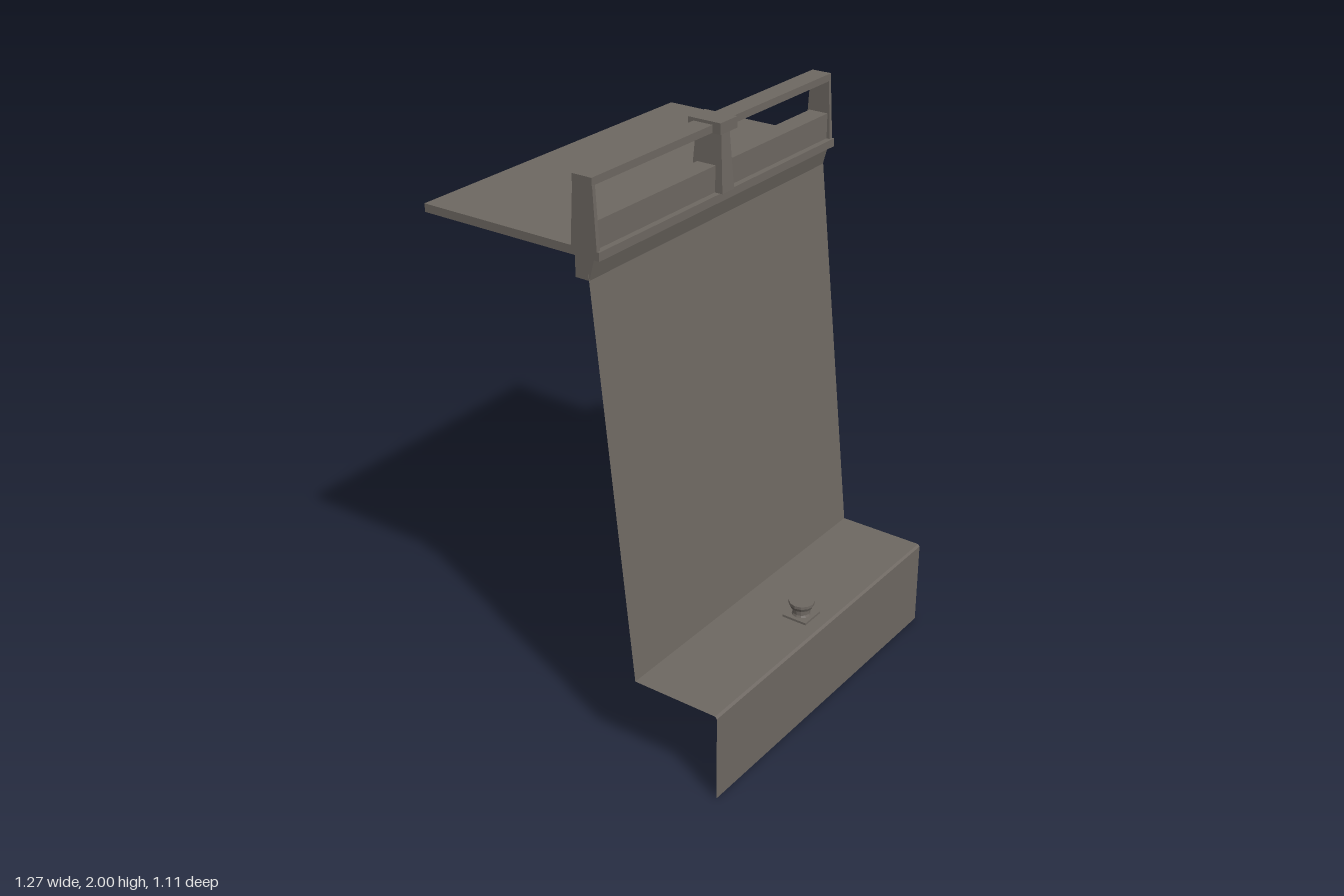
import * as THREE from 'three';

const WIDTH = 1.268;

export function createModel() {
  const model = new THREE.Group();
  const stone = new THREE.MeshStandardMaterial({ color: 0x6e6862, flatShading: true });
  const stoneSheet = new THREE.MeshStandardMaterial({ color: 0x6e6862, flatShading: true, side: THREE.DoubleSide });
  stone.name = 'stone';
  stoneSheet.name = 'stone sheet';

  const add = (name, geometry, x = 0, y = 0, z = 0, material = stone) => {
    const mesh = new THREE.Mesh(geometry, material);
    mesh.name = name;
    mesh.position.set(x, y, z);
    model.add(mesh);
    return mesh;
  };

  // Box given by its lower and upper y and its back and front z
  const block = (name, w, y0, y1, z0, z1, x = 0) =>
    add(name, new THREE.BoxGeometry(w, y1 - y0, z1 - z0), x, (y0 + y1) / 2, (z0 + z1) / 2);

  // Post whose top is narrower than its foot
  const taperedPost = (name, x, y0, y1, z, foot, top) => {
    const geometry = new THREE.BoxGeometry(1, y1 - y0, 1);
    const p = geometry.attributes.position;
    for (let i = 0; i < p.count; i++) {
      const [w, d] = p.getY(i) > 0 ? top : foot;
      p.setX(i, p.getX(i) * w);
      p.setZ(i, p.getZ(i) * d);
    }
    geometry.computeVertexNormals();
    return add(name, geometry, x, (y0 + y1) / 2, z);
  };

  // Folded sheet: apron, ledge and leaning wall, as [y, z] from the bottom up
  const fold = [[0, 0.555], [0.31, 0.555], [0.318, 0.548], [0.318, 0.235], [1.69, 0.088]];
  const names = ['apron', 'ledgeBevel', 'ledge', 'leaningWall'];
  names.forEach((name, i) => {
    const [y0, z0] = fold[i], [y1, z1] = fold[i + 1];
    const h = WIDTH / 2;
    const geometry = new THREE.BufferGeometry();
    geometry.setAttribute('position', new THREE.Float32BufferAttribute(
      [-h, y0, z0, h, y0, z0, h, y1, z1, -h, y1, z1], 3));
    geometry.setIndex([0, 1, 2, 0, 2, 3]);
    geometry.computeVertexNormals();
    add(name, geometry, 0, 0, 0, stoneSheet);
  });

  // Upper floor slab reaching backwards
  block('floorSlab', WIDTH, 1.74, 1.768, -0.555, 0.13);

  // Parapet beam with its lower front edge cut back
  const section = new THREE.Shape();
  [[-0.038, 1.67], [-0.09, 1.67], [-0.109, 1.74], [-0.109, 1.855], [-0.038, 1.855]]
    .forEach(([u, y], i) => (i ? section.lineTo(u, y) : section.moveTo(u, y)));
  const beam = new THREE.ExtrudeGeometry(section, { depth: WIDTH - 0.004, bevelEnabled: false });
  beam.translate(0, 0, -(WIDTH - 0.004) / 2);
  beam.rotateY(Math.PI / 2);
  // The turn maps the section's -u onto +z
  add('parapetBeam', beam);

  // Handrail, end posts, centre post and cap
  block('handrail', WIDTH, 1.965, 1.99, 0.036, 0.109);
  for (const side of [-1, 1]) {
    taperedPost('endPost', side * 0.6265, 1.755, 1.966, 0.0735, [0.015, 0.098], [0.013, 0.073]);
  }
  taperedPost('centrePost', 0, 1.768, 1.968, 0.077, [0.064, 0.122], [0.044, 0.095]);
  block('postCap', 0.09, 1.963, 2, 0.015, 0.138);

  // Knob on the ledge: square plate, stem and flared head
  block('knobPlate', 0.092, 0.318, 0.326, 0.41, 0.502);
  const profile = [[0, 0.324], [0.034, 0.324], [0.03, 0.333], [0.03, 0.35], [0.038, 0.354],
    [0.044, 0.366], [0.044, 0.376], [0, 0.376]].map(([r, y]) => new THREE.Vector2(r, y));
  add('knob', new THREE.LatheGeometry(profile, 12), 0, 0, 0.456);

  return model;
}
